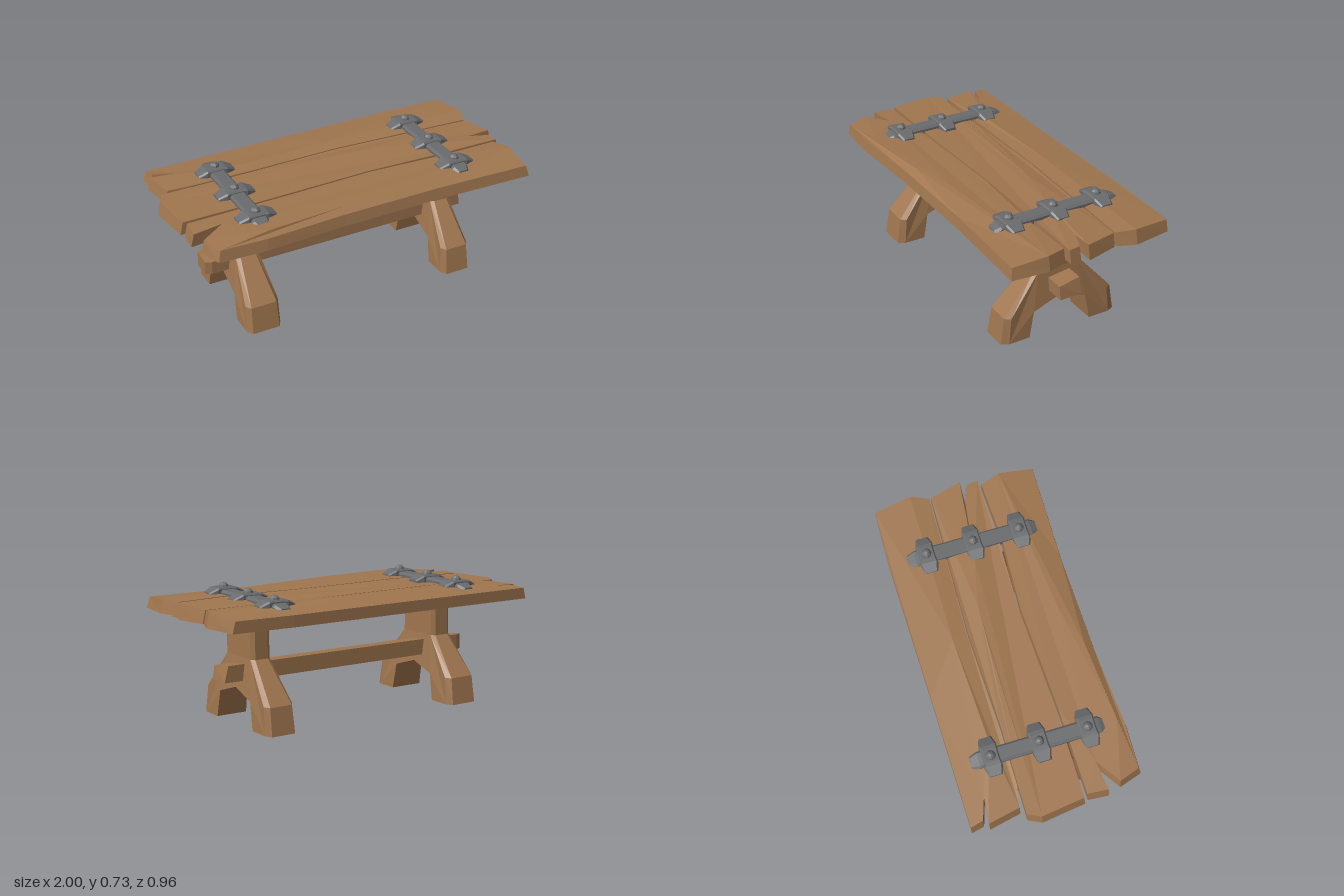
import * as THREE from 'three';

const wood = new THREE.MeshStandardMaterial({ color: 0xa0764f, flatShading: true });
wood.name = 'wood';
const iron = new THREE.MeshStandardMaterial({ color: 0x6a6b6d, flatShading: true });
iron.name = 'iron';

const V = (x, y, z) => new THREE.Vector3(x, y, z);

// Closed solid through matching loops; the caps are triangulated in the plane across `axis`.
// `inner` points and `parts` (index lists) allow creases inside the end cap.
function loft(loops, axis, inner = [], parts = null) {
  const flat = p => axis === 'x' ? new THREE.Vector2(p.y, p.z)
    : axis === 'y' ? new THREE.Vector2(p.x, p.z) : new THREE.Vector2(p.x, p.y);
  const n = loops[0].length;
  const tris = [];
  for (let i = 0; i + 1 < loops.length; i++) {
    for (let j = 0; j < n; j++) {
      const k = (j + 1) % n;
      const [a, b, c, d] = [loops[i][j], loops[i][k], loops[i + 1][k], loops[i + 1][j]];
      tris.push([a, b, c], [a, c, d]);
    }
  }
  const cap = (points, polygons, turn) => {
    const sign = Math.sign(THREE.ShapeUtils.area(points.slice(0, n).map(flat))) * turn;
    for (const polygon of polygons) {
      const pts = polygon.map(i => points[i]);
      for (const f of THREE.ShapeUtils.triangulateShape(pts.map(flat), [])) {
        const t = f.map(i => pts[i]);
        if (THREE.ShapeUtils.area(t.map(flat)) * sign < 0) t.reverse();
        tris.push(t);
      }
    }
  };
  const all = [...Array(n).keys()];
  cap(loops[0], [all], -1);
  cap(loops[loops.length - 1].concat(inner), parts || [all], 1);

  // Turn every face outward
  let volume = 0;
  for (const [a, b, c] of tris) volume += a.dot(b.clone().cross(c));
  if (volume < 0) tris.forEach(t => t.reverse());
  const geometry = new THREE.BufferGeometry().setFromPoints(tris.flat());
  geometry.computeVertexNormals();
  return geometry;
}

function add(parent, name, geometry, material) {
  const mesh = new THREE.Mesh(geometry, material);
  mesh.name = name;
  parent.add(mesh);
  return mesh;
}

// Plank outline: left crease end, back edge, right crease end, front edge
function plank(left, back, right, front, crease) {
  const outline = [left, ...back, right, ...front];
  const height = ([x, z]) => Math.abs(z) > 0.4 ? 0.652 : Math.abs(x) > 0.8 ? 0.661 : 0.667;
  const bottom = outline.map(([x, z]) => V(x, 0.59, z));
  const top = outline.map(p => V(p[0] * 0.983, height(p), p[1] > 0.4 ? p[1] - 0.012 : p[1]));
  const r = back.length + 1, n = outline.length;
  top[r].y = 0.67;
  const ridge = crease.map(([x, z]) => V(x, 0.676, z));
  const ids = crease.map((_, i) => n + i);
  const backPart = [...Array(r + 1).keys(), ...ids.slice().reverse()];
  const frontPart = [0, ...ids, ...Array.from({ length: n - r }, (_, i) => r + i)];
  return loft([bottom, top], 'y', ridge, [backPart, frontPart]);
}

// Splayed trestle leg with chamfered outer edges, thicker toward the feet
function legGeometry() {
  // z, y, chamfer inset, half thickness
  const half = [[0.138, 0.6, 0.018, 0.063], [0.14, 0.365, 0.017, 0.065], [0.33, 0.15, 0.032, 0.095],
    [0.353, 0, 0.04, 0.1], [0.188, 0, 0, 0.1], [0.16, 0.15, 0, 0.095]];
  const mirrored = half.map(([z, y, c, w]) => [-z, y, -c, w]).reverse();
  const profile = [...half, [0, 0.2, 0, 0.088], ...mirrored];
  const layer = (side, edge) => profile.map(([z, y, c, w]) =>
    V(side * (edge ? w - 0.022 : w), y, edge ? z : z - c));
  return loft([layer(-1, false), layer(-1, true), layer(1, true), layer(1, false)], 'x');
}

// Iron strap running across the planks: z, half width, top height
function strapGeometry() {
  const sections = [[-0.375, 0.036, 0.668], [-0.33, 0.047, 0.684], [-0.29, 0.045, 0.69],
    [0.29, 0.045, 0.69], [0.33, 0.047, 0.684], [0.365, 0.036, 0.668]];
  return loft(sections.map(([z, w, y]) => [V(-w, 0.645, z), V(-w, y - 0.012, z),
    V(-w + 0.012, y, z), V(w - 0.012, y, z), V(w, y - 0.012, z), V(w, 0.645, z)]), 'z');
}

// Winged clamp plate: x, half depth, top height
function clampGeometry() {
  const sections = [[-0.106, 0.033, 0.677], [-0.056, 0.046, 0.7], [-0.035, 0.043, 0.702],
    [0.035, 0.043, 0.702], [0.056, 0.046, 0.7], [0.106, 0.033, 0.677]];
  return loft(sections.map(([x, d, y]) => [V(x, 0.655, d + 0.004), V(x, y - 0.008, d + 0.002),
    V(x, y, d - 0.006), V(x, y, -d + 0.006), V(x, y - 0.008, -d - 0.002),
    V(x, 0.655, -d - 0.004)]), 'x');
}

export function createModel() {
  const table = new THREE.Group();
  table.name = 'table';

  // Table top: three worn planks with split ends
  add(table, 'backPlank', plank([-0.92, -0.2],
    [[-0.955, -0.375], [-0.81, -0.36], [-0.93, -0.4], [-0.945, -0.47], [-0.2, -0.472], [0.62, -0.48], [0.96, -0.467]],
    [0.99, -0.255],
    [[0.95, -0.155], [0.35, -0.176], [0.1, -0.188], [-0.45, -0.176], [-0.8, -0.178]],
    [[-0.5, -0.25], [0.08, -0.27]]), wood);
  add(table, 'middlePlank', plank([-1, -0.105],
    [[-0.965, -0.177], [-0.45, -0.166], [0.08, -0.18], [0.95, -0.145]],
    [0.995, 0.035],
    [[0.865, 0.03], [0.97, 0.07], [0.98, 0.135], [0.6, 0.142], [0.15, 0.124], [-0.45, 0.14], [-0.97, 0.135]],
    [[0, -0.095], [0.22, -0.083], [0.5, -0.02]]), wood);
  add(table, 'frontPlank', plank([-0.9, 0.467],
    [[-0.94, 0.34], [-0.8, 0.25], [-0.965, 0.268], [-0.955, 0.155], [-0.45, 0.153], [0.14, 0.134], [0.6, 0.16], [0.95, 0.15]],
    [0.985, 0.26],
    [[0.965, 0.467], [0.4, 0.45], [-0.18, 0.455], [-0.64, 0.478]],
    [[-0.6, 0.43], [-0.15, 0.4], [0.08, 0.33]]), wood);

  // Stretcher beam through both legs
  const beam = (x, slant, s) => [V(x + slant, 0.245, 0.062 * s), V(x, 0.32, 0.062 * s),
    V(x - slant, 0.335, -0.067 * s), V(x + slant, 0.245, -0.067 * s)];
  add(table, 'stretcher', loft([beam(-0.815, 0, 0.75), beam(-0.78, 0, 1),
    beam(0.775, 0.012, 1)], 'x'), wood);

  const leg = legGeometry(), strap = strapGeometry(), clamp = clampGeometry();
  const bolt = new THREE.SphereGeometry(0.029, 8, 3, 0, Math.PI * 2, 0, Math.PI / 2);
  for (const side of [-1, 1]) {
    const label = side > 0 ? 'left' : 'right';
    const trestle = add(table, label + 'Leg', leg, wood);
    trestle.position.x = side * 0.603;
    if (side > 0) trestle.scale.x = 0.9;

    // Iron fittings above each leg
    const fitting = new THREE.Group();
    fitting.name = label + 'IronFitting';
    fitting.position.x = side > 0 ? 0.597 : -0.604;
    table.add(fitting);
    add(fitting, 'strap', strap, iron);
    for (const z of [-0.265, 0, 0.265]) {
      add(fitting, 'clamp', clamp, iron).position.z = z;
      add(fitting, 'bolt', bolt, iron).position.set(0, 0.697, z);
    }
  }
  return table;
}
